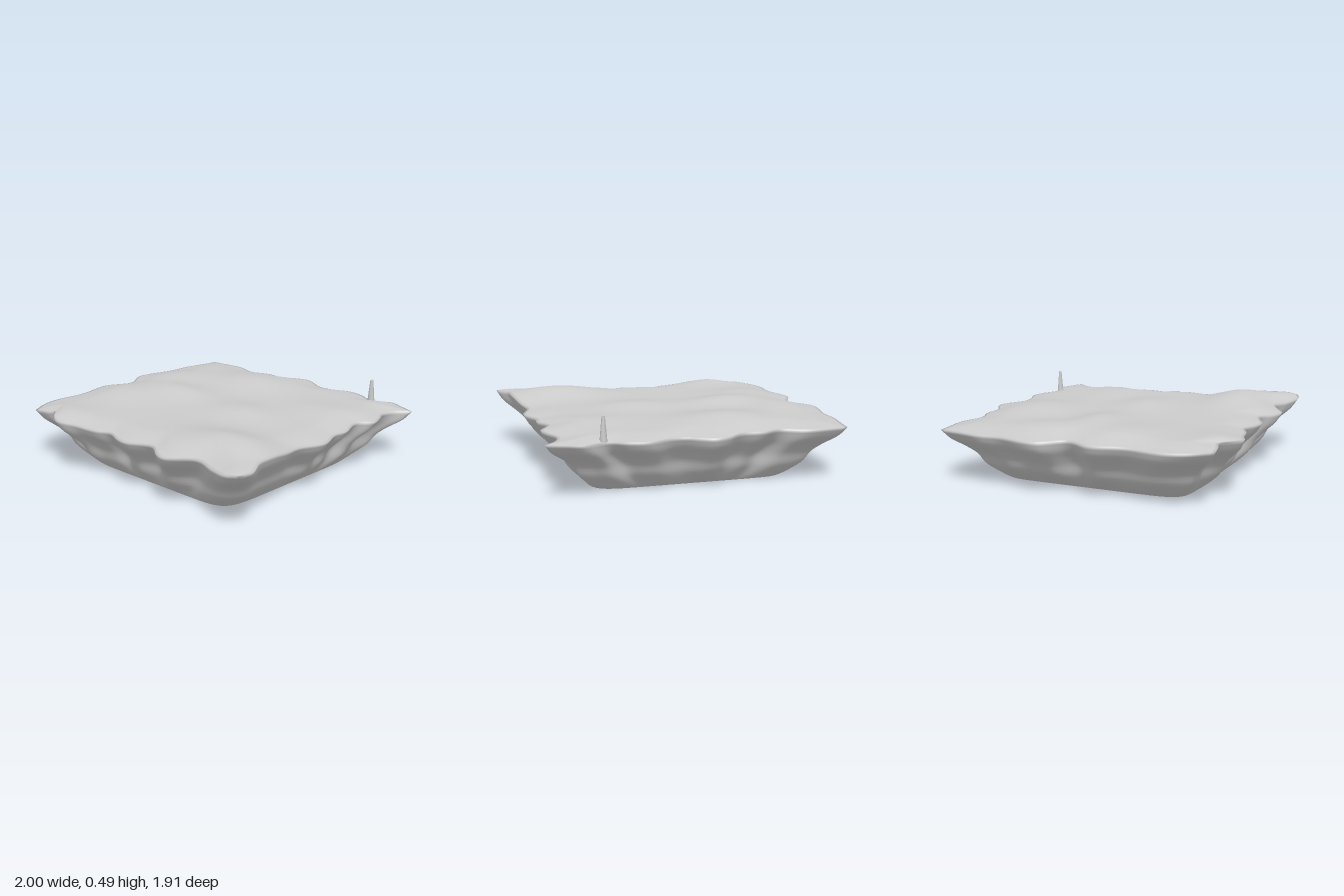
import * as THREE from 'three';
import { mergeGeometries, mergeVertices } from 'three/addons/utils/BufferGeometryUtils.js';

// Rim outline [x, z], one list per side, running counter-clockwise from above
const SIDES = {
  front: [[-0.84, 0.88], [-0.75, 0.87], [-0.68, 0.85], [-0.6, 0.92], [-0.53, 0.95], [-0.4, 0.91], [-0.25, 0.88], [-0.15, 0.84],
    [-0.03, 0.88], [0.05, 0.89], [0.22, 0.83], [0.34, 0.9], [0.42, 0.92], [0.6, 0.83], [0.77, 0.88], [0.9, 0.91], [0.98, 0.88]],
  right: [[0.98, 0.88], [1, 0.81], [0.94, 0.68], [0.93, 0.58], [0.9, 0.4], [0.87, 0.25], [0.92, 0.07], [0.87, -0.1],
    [0.88, -0.2], [0.84, -0.35], [0.9, -0.46], [0.88, -0.55], [0.84, -0.65], [0.86, -0.74], [0.94, -0.83]],
  back: [[0.94, -0.83], [0.84, -0.87], [0.73, -0.91], [0.59, -0.86], [0.48, -0.91], [0.36, -0.93], [0.22, -0.88], [0.13, -0.88],
    [0.06, -0.92], [-0.03, -0.96], [-0.12, -0.94], [-0.22, -0.88], [-0.36, -0.88], [-0.48, -0.84], [-0.64, -0.89], [-0.9, -0.87]],
  left: [[-0.9, -0.87], [-0.92, -0.75], [-0.95, -0.6], [-0.95, -0.45], [-1, -0.17], [-0.9, 0], [-0.97, 0.17],
    [-0.93, 0.4], [-0.95, 0.62], [-0.92, 0.75], [-0.84, 0.88]],
};

// Low hills on the top: x, z, height, radius in x, radius in z
const HILLS = [
  [0.6, 0.56, 0.065, 0.34, 0.2], [-0.22, -0.55, 0.045, 0.3, 0.22], [-0.42, -0.02, 0.04, 0.25, 0.16],
  [-0.65, 0.25, 0.03, 0.25, 0.2], [0.2, 0.02, 0.03, 0.25, 0.18], [0.58, -0.38, 0.02, 0.28, 0.18],
  [-0.7, -0.25, 0.03, 0.18, 0.22], [1.0, 0.75, 0.035, 0.2, 0.25], [-0.6, 0.85, 0.025, 0.22, 0.2],
];
const height = (x, z) => HILLS.reduce((y, [hx, hz, h, rx, rz]) =>
  y + h * Math.exp(-(((x - hx) / rx) ** 2) - ((z - hz) / rz) ** 2), 0.345 + 0.005 * z);

// Outline of the underside: a square with rounded corners
function basePoint(side, u) {
  const a = (side + u) * Math.PI / 2 - Math.PI / 4, c = Math.cos(a), s = Math.sin(a);
  const r = 0.625 / Math.pow(Math.abs(c) ** 9 + Math.abs(s) ** 9, 1 / 9);
  return [r * s, r * c];
}

// Grid surface from point(u, v)
function surface(point, nu, nv) {
  const pos = [], index = [];
  for (let j = 0; j <= nv; j++) {
    for (let i = 0; i <= nu; i++) {
      pos.push(...point(i / nu, j / nv));
      if (i < nu && j < nv) {
        const a = j * (nu + 1) + i, c = a + nu + 1;
        index.push(a, c, a + 1, a + 1, c, c + 1);
      }
    }
  }
  const g = new THREE.BufferGeometry();
  g.setAttribute('position', new THREE.Float32BufferAttribute(pos, 3));
  g.setIndex(index);
  return g;
}

export function createModel() {
  const group = new THREE.Group();
  const mat = new THREE.MeshStandardMaterial({ color: 0xcccccc, side: THREE.DoubleSide });
  const add = (geometry, name) => {
    const mesh = new THREE.Mesh(geometry, mat);
    mesh.name = name;
    group.add(mesh);
    return mesh;
  };

  const N = 80, ROWS = 20;
  const rim = {};
  for (const [name, pts] of Object.entries(SIDES)) {
    const curve = new THREE.CatmullRomCurve3(pts.map(([x, z]) => new THREE.Vector3(x, 0, z)));
    curve.arcLengthDivisions = 600;
    rim[name] = curve.getSpacedPoints(N);
  }
  const at = (name, u) => rim[name][Math.round(u * N)];

  // Top: patch blended between the four rim curves, rising softly from the rim
  const [fl, fr, br, bl] = ['front', 'right', 'back', 'left'].map((n) => at(n, 0));
  const top = surface((u, v) => {
    const B = at('back', 1 - u), F = at('front', u), L = at('left', v), R = at('right', 1 - v);
    const mix = (k) => (1 - v) * B[k] + v * F[k] + (1 - u) * L[k] + u * R[k]
      - ((1 - u) * (1 - v) * bl[k] + u * (1 - v) * br[k] + (1 - u) * v * fl[k] + u * v * fr[k]);
    const x = mix('x'), z = mix('z');
    const inland = THREE.MathUtils.smoothstep(Math.min(u, 1 - u, v, 1 - v), -0.04, 0.12);
    const rimLevel = THREE.MathUtils.smoothstep(0, -0.04, 0.12);
    return [x, height(x, z) + 0.03 * (inland - rimLevel), z];
  }, N, N);

  // Sides: rim drawn in and down to the underside
  const profile = new THREE.CatmullRomCurve3([[1, 1], [0.87, 0.83], [0.65, 0.66], [0.48, 0.5], [0.36, 0.3], [0.05, 0.03], [0, 0]]
    .map(([w, h]) => new THREE.Vector3(w, h, 0))).getSpacedPoints(ROWS);
  const normals = [[0, 1], [1, 0], [0, -1], [-1, 0]];
  const walls = Object.keys(SIDES).map((name, s) => {
    const [nx, nz] = normals[s];
    return surface((u, v) => {
      const p = at(name, u), { x: w, y: h } = profile[Math.round(v * ROWS)];
      const [bx, bz] = basePoint(s, u);
      // Vertical ribs follow the waves of the rim
      const wave = (p.x * nx + p.z * nz - 0.89) * 0.4 * Math.sin(Math.PI * h) * Math.min(1, 8 * u * (1 - u));
      return [bx + (p.x - bx) * w + nx * wave, height(p.x, p.z) * h, bz + (p.z - bz) * w + nz * wave];
    }, N, ROWS);
  });
  const body = mergeVertices(mergeGeometries([top, ...walls]), 1e-4);
  body.computeVertexNormals();
  add(body, 'terrainSlab');

  // Flat underside
  const outline = [0, 1, 2, 3].flatMap((s) => Array.from({ length: N }, (_, i) => new THREE.Vector2(...basePoint(s, i / N))));
  const under = add(new THREE.ShapeGeometry(new THREE.Shape(outline)), 'underside');
  under.rotation.x = Math.PI / 2;

  // Small tapered post at the back edge
  const post = add(new THREE.CylinderGeometry(0.01, 0.024, 0.15, 6), 'post');
  post.position.set(0.605, 0.415, -0.84);
  return group;
}
